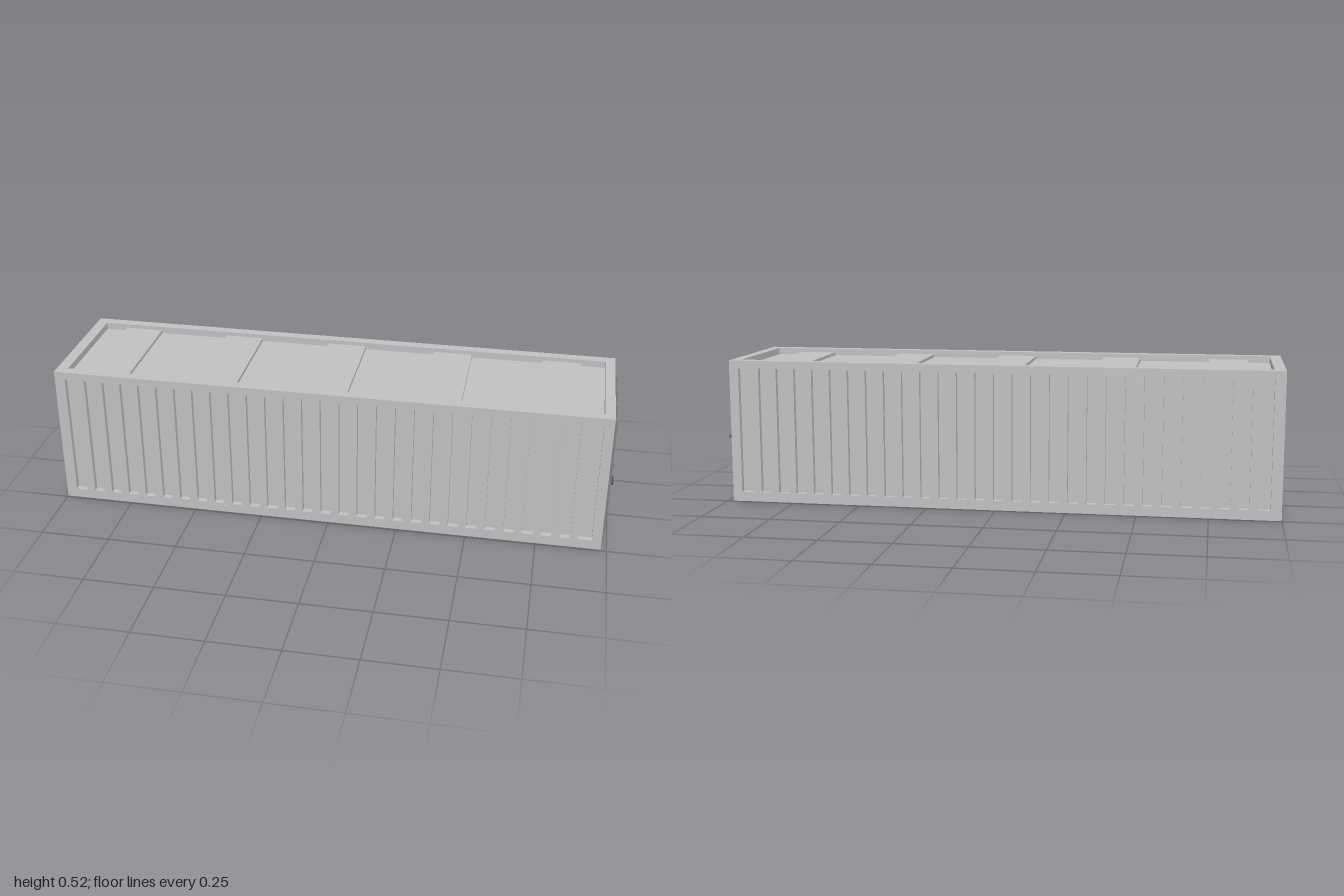
import * as THREE from 'three';

const X0 = -1, X1 = 0.98, H = 0.52, Z = 0.243, D = 0.02; // shell extents and recess depth

const body = new THREE.MeshStandardMaterial({ color: 0xc0c0c0 });
body.name = 'container grey';
const rodGrey = new THREE.MeshStandardMaterial({ color: 0x808080 });
rodGrey.name = 'rod grey';
const dark = new THREE.MeshStandardMaterial({ color: 0x575757 });
dark.name = 'dark grey';

// Box given by its minimum and maximum corners
function box(name, mat, a, b) {
  const mesh = new THREE.Mesh(new THREE.BoxGeometry(b[0] - a[0], b[1] - a[1], b[2] - a[2]), mat);
  mesh.position.set((a[0] + b[0]) / 2, (a[1] + b[1]) / 2, (a[2] + b[2]) / 2);
  mesh.name = name;
  return mesh;
}

// Flat panel with rectangular openings, rectangles as [u0, v0, u1, v1]
function panel(name, [u0, v0, u1, v1], holes, depth) {
  const corners = (a, b, c, d) => [[a, b], [c, b], [c, d], [a, d]].map(p => new THREE.Vector2(...p));
  const shape = new THREE.Shape(corners(u0, v0, u1, v1));
  for (const h of holes) shape.holes.push(new THREE.Path(corners(...h)));
  const mesh = new THREE.Mesh(new THREE.ExtrudeGeometry(shape, { depth, bevelEnabled: false }), body);
  mesh.name = name;
  return mesh;
}

export function createModel() {
  const model = new THREE.Group();
  model.name = 'shippingContainer';
  const zi = Z - D;
  const roofY = 0.495;

  // Inner walls, floor and roof sheet
  model.add(box('innerShell', body, [X0 + D, D, -zi], [X1 - D, roofY, zi]));

  // Corrugated long sides: a wide slot at each end and 27 regular ones between
  const slots = [[-0.962, 0.035, -0.92, 0.492], [0.897, 0.035, 0.946, 0.492]];
  for (let i = 0; i < 27; i++) {
    const x = -0.89 + i * 0.0663;
    slots.push([x, 0.035, x + 0.037, 0.492]);
  }
  for (const [name, z] of [['frontSide', zi], ['backSide', -Z]]) {
    const side = panel(name, [X0, 0, X1, H], slots, D);
    side.position.z = z;
    model.add(side);
  }

  // End frames
  for (const [name, x] of [['doorFrame', X1 - D], ['endFrame', X0]]) {
    const end = panel(name, [-zi, 0, zi, H], [[-0.206, 0.04, 0.206, 0.483]], D);
    end.rotation.y = Math.PI / 2;
    end.position.x = x;
    model.add(end);
  }

  // Roof and floor frames
  for (const [name, y, depth] of [['roofFrame', H, H - roofY], ['floorFrame', D, D]]) {
    const frame = panel(name, [X0 + D, -zi, X1 - D, zi], [[-0.96, -0.206, 0.945, 0.206]], depth);
    frame.rotation.x = Math.PI / 2;
    frame.position.y = y;
    model.add(frame);
  }

  // Raised roof panels
  for (let i = 0; i < 5; i++) {
    const x = -0.88 + i * 0.399;
    model.add(box('roofRib', body, [x, roofY - 0.005, -0.206], [x + 0.141, roofY + 0.011, 0.206]));
  }

  // Door seal, locking rods and handles
  const doorX = X1 - D;
  model.add(box('doorSeal', dark, [doorX - 0.005, 0.04, -0.005], [doorX + 0.008, 0.483, 0.005]));
  for (let i = 0; i < 4; i++) {
    const z = 0.172 - i * 0.114;
    model.add(box('lockingRod', rodGrey, [doorX, 0.041, z - 0.005], [0.992, 0.481, z + 0.005]));
    model.add(box('doorHandle', dark, [0.99, 0.23, z - 0.044], [1, 0.24, z + 0.005]));
  }
  return model;
}
